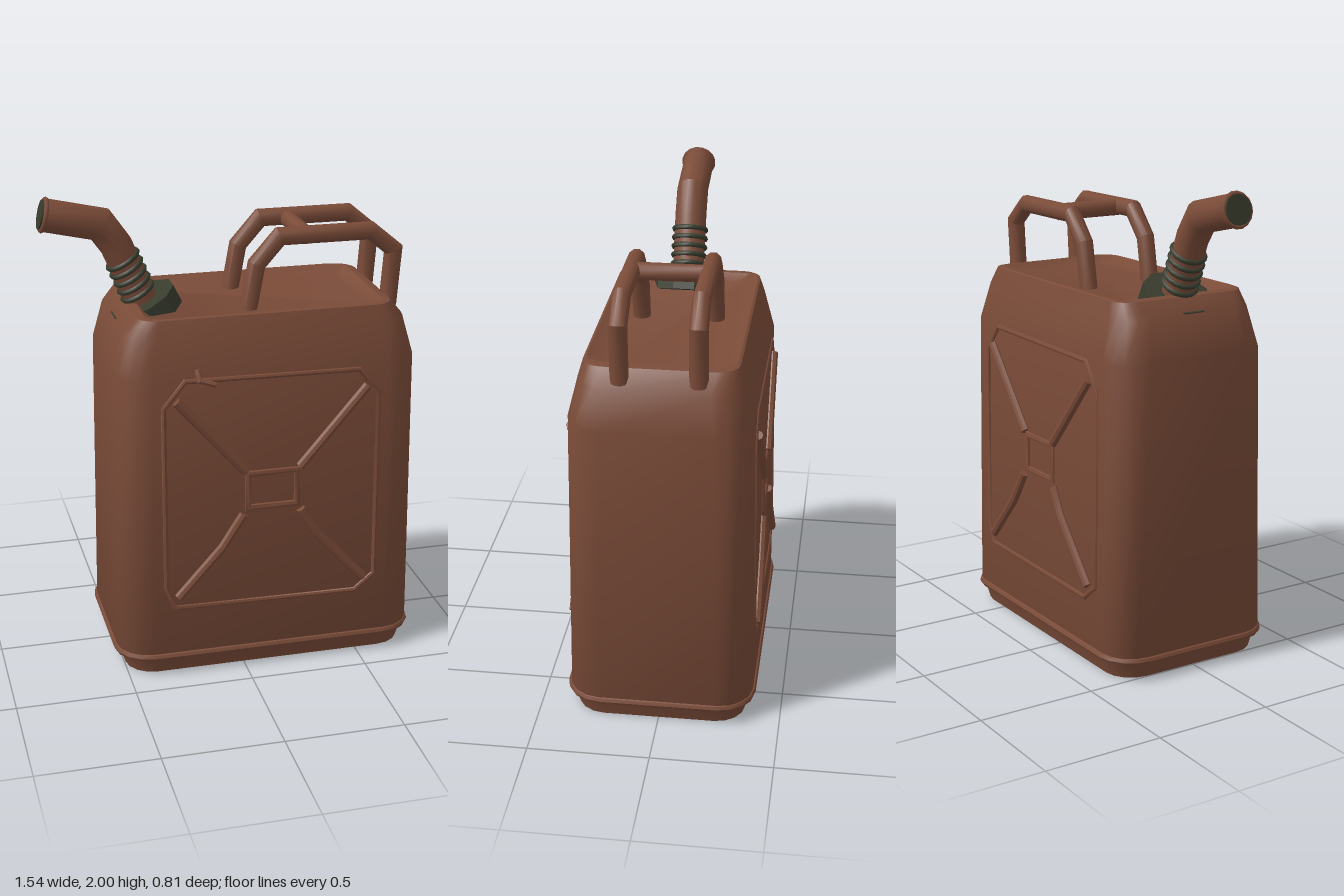
import * as THREE from 'three';
import { toCreasedNormals } from 'three/addons/utils/BufferGeometryUtils.js';

const V = (x, y, z) => new THREE.Vector3(x, y, z);

const brown = new THREE.MeshStandardMaterial({ color: 0x7a4b38 });
brown.name = 'brown paint';
const olive = new THREE.MeshStandardMaterial({ color: 0x383c2d });
olive.name = 'dark olive';

function build(pos, idx, crease) {
  const g = new THREE.BufferGeometry();
  g.setAttribute('position', new THREE.Float32BufferAttribute(pos, 3));
  g.setIndex(idx);
  return toCreasedNormals(g, crease);
}

function add(parent, name, geo, mat) {
  const m = new THREE.Mesh(geo, mat);
  m.name = name;
  parent.add(m);
  return m;
}

// Round-cornered rectangle in the xz plane
function section(y, x0, x1, hz, r, seg = 4) {
  const pts = [];
  const corners = [[x1 - r, hz - r], [x0 + r, hz - r], [x0 + r, r - hz], [x1 - r, r - hz]];
  corners.forEach(([cx, cz], k) => {
    for (let i = 0; i <= seg; i++) {
      const a = (k + i / seg) * Math.PI / 2;
      pts.push(V(cx + r * Math.cos(a), y, cz + r * Math.sin(a)));
    }
  });
  return pts;
}

// Skin a stack of sections and close both ends
function loft(rings, crease) {
  const n = rings[0].length, pos = [], idx = [];
  rings.forEach((ring) => ring.forEach((p) => pos.push(p.x, p.y, p.z)));
  for (let k = 0; k < rings.length - 1; k++) {
    for (let i = 0; i < n; i++) {
      const a = k * n + i, b = k * n + (i + 1) % n;
      idx.push(a, a + n, b, b, a + n, b + n);
    }
  }
  const last = (rings.length - 1) * n;
  for (let i = 1; i < n - 1; i++) {
    idx.push(0, i, i + 1, last, last + i + 1, last + i);
  }
  return build(pos, idx, crease);
}

// Mitred round bar along a path; B is the normal of the plane of the path
function bar(pts, radius, B, closed = false, sides = 10) {
  const n = pts.length, pos = [], idx = [];
  const at = (i) => pts[(i + n) % n];
  for (let i = 0; i < n; i++) {
    const before = at(i).clone().sub(at(i - 1)).normalize();
    const after = at(i + 1).clone().sub(at(i)).normalize();
    if (!closed && i === 0) before.copy(after);
    if (!closed && i === n - 1) after.copy(before);
    const T = before.clone().add(after).normalize();
    const N = T.clone().cross(B).normalize().divideScalar(T.dot(after));
    for (let s = 0; s < sides; s++) {
      const a = s / sides * Math.PI * 2;
      const p = at(i).clone().addScaledVector(B, radius * Math.cos(a))
        .addScaledVector(N, radius * Math.sin(a));
      pos.push(p.x, p.y, p.z);
    }
  }
  for (let i = 0; i < (closed ? n : n - 1); i++) {
    for (let s = 0; s < sides; s++) {
      const t = (s + 1) % sides, j = (i + 1) % n;
      const a = i * sides + s, b = i * sides + t, c = j * sides + s, d = j * sides + t;
      idx.push(a, b, c, b, d, c);
    }
  }
  if (!closed) {
    const e = (n - 1) * sides;
    for (let s = 1; s < sides - 1; s++) idx.push(0, s + 1, s, e, e + s, e + s + 1);
  }
  return build(pos, idx, 0.66);
}

// Height of the big flat faces above the z = 0 plane
const faceZ = (y) => 0.382 - 0.014 * (y - 0.1);

function embossing() {
  const g = new THREE.Group(), Z = V(0, 0, 1);
  const path = (list, lift) => list.map(([x, y]) => V(x, y, faceZ(y) + lift));
  add(g, 'panelFrame', bar(path([
    [-0.34, 0.41], [-0.305, 0.31], [0.48, 0.3], [0.565, 0.37],
    [0.565, 1.19], [0.48, 1.3], [-0.25, 1.31], [-0.34, 1.2],
  ], -0.003), 0.012, Z, true, 8), brown);
  add(g, 'centreFrame', bar(path([
    [0.01, 0.735], [0.22, 0.735], [0.22, 0.885], [0.01, 0.885],
  ], -0.004), 0.016, Z, true, 8), brown);
  const ribs = [
    [[-0.29, 1.23], [0, 0.9]],
    [[0.515, 1.23], [0.23, 0.9]],
    [[-0.29, 0.36], [-0.1, 0.57], [-0.01, 0.71]],
    [[0.515, 0.36], [0.3, 0.6], [0.235, 0.71]],
  ];
  ribs.forEach((r) => add(g, 'diagonalRib', bar(path(r, 0.006), 0.02, Z, false, 8), brown));
  return g;
}

export function createModel() {
  const model = new THREE.Group();
  model.name = 'fuelCan';
  const Y = V(0, 1, 0), Z = V(0, 0, 1);

  // Body with bevelled shoulders and a shallow recess in the top
  add(model, 'body', loft([
    section(0, -0.495, 0.725, 0.35, 0.12),
    section(0.06, -0.51, 0.74, 0.365, 0.13),
    section(0.1, -0.533, 0.757, 0.382, 0.14),
    section(1.32, -0.52, 0.747, 0.365, 0.14),
    section(1.48, -0.48, 0.705, 0.325, 0.12),
    section(1.55, -0.42, 0.645, 0.305, 0.08),
    section(1.555, -0.385, 0.61, 0.295, 0.07),
    section(1.525, -0.345, 0.57, 0.225, 0.03),
  ], 0.7), brown);
  add(model, 'bottomBead', bar(section(0.085, -0.527, 0.75, 0.376, 0.14), 0.018, Y, true, 8), brown);

  // Pressed pattern on both large faces
  const front = embossing();
  front.name = 'frontEmbossing';
  const back = embossing();
  back.name = 'backEmbossing';
  back.rotation.y = Math.PI;
  back.position.x = 0.225;
  model.add(front, back);
  add(model, 'panelHook', bar([
    V(-0.2, 1.355, 0.36), V(-0.195, 1.315, 0.38), V(-0.13, 1.295, 0.388),
  ], 0.011, Z, false, 8), brown);

  // Twin carrying handles joined by a crossbar
  for (const z of [0.15, -0.155]) {
    add(model, z > 0 ? 'frontHandle' : 'backHandle', bar([
      V(0.06, 1.5, z), V(0.098, 1.71, z), V(0.195, 1.82, z),
      V(0.58, 1.82, z), V(0.682, 1.735, z), V(0.665, 1.5, z),
    ], 0.037, Z), brown);
  }
  add(model, 'handleCrossbar', bar([V(0.31, 1.815, -0.155), V(0.31, 1.815, 0.15)], 0.036, Y), brown);

  // Tilted collar at the filler hole
  const tilt = V(-0.45, 0.89, 0).normalize();
  const collar = add(model, 'spoutCollar', new THREE.CylinderGeometry(0.145, 0.145, 0.08, 10).toNonIndexed(), olive);
  collar.geometry.computeVertexNormals();
  collar.quaternion.setFromUnitVectors(Y, tilt);
  collar.position.set(-0.35, 1.555, 0.01).addScaledVector(tilt, -0.04);

  // Bent spout
  const zs = 0.01, mouth = V(-0.742, 1.932, zs);
  add(model, 'spout', bar([
    V(-0.335, 1.51, zs), V(-0.452, 1.79, zs), V(-0.515, 1.88, zs), mouth,
  ], 0.067, Z, false, 14), brown);
  const out = V(-0.227, 0.052, 0).normalize();
  const lip = add(model, 'spoutLip', new THREE.TorusGeometry(0.064, 0.01, 6, 16), brown);
  lip.quaternion.setFromUnitVectors(Z, out);
  lip.position.copy(mouth);
  const hole = add(model, 'spoutMouth', new THREE.CylinderGeometry(0.06, 0.06, 0.03, 16), olive);
  hole.quaternion.setFromUnitVectors(Y, out);
  hole.position.copy(mouth);

  // Screw rings round the lower spout
  const ringAxis = V(-0.5, 0.87, 0).normalize();
  for (let i = 0; i < 5; i++) {
    const ring = add(model, 'spoutRing', new THREE.TorusGeometry(0.068, 0.011, 6, 16), olive);
    ring.quaternion.setFromUnitVectors(Z, ringAxis);
    ring.position.set(-0.368 - 0.0145 * i, 1.59 + 0.0345 * i, zs);
  }
  return model;
}
